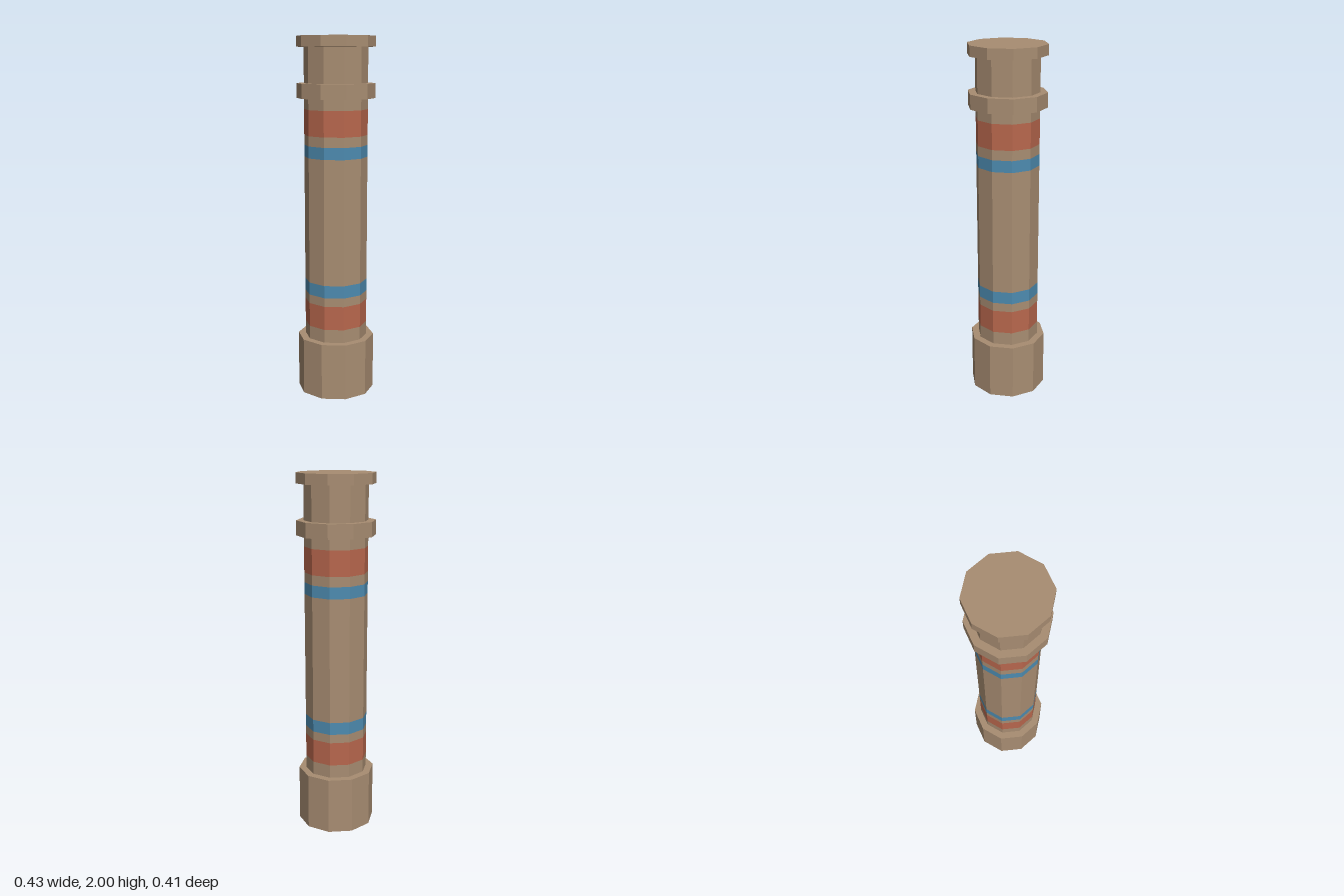
import * as THREE from 'three';

const SIDES = 10;
const WIDE = 0.216;   // base, collar and cap radius
const SHAFT = 0.175;  // shaft radius

export function createModel() {
  const group = new THREE.Group();
  group.name = 'column';

  const material = (name, color) => new THREE.MeshStandardMaterial({
    name, color, flatShading: true, side: THREE.DoubleSide,
  });
  const stone = material('sandstone', 0xa88d72);
  const red = material('terracotta red', 0xb8674d);
  const blue = material('faded blue', 0x4d8bb0);

  // Ten-sided shell from [radius, height] points, with a corner on the x axis
  const shell = (name, mat, points) => {
    const profile = points.map(([r, y]) => new THREE.Vector2(r, y));
    const geometry = new THREE.LatheGeometry(profile, SIDES, Math.PI / 2).toNonIndexed();
    geometry.computeVertexNormals();
    const mesh = new THREE.Mesh(geometry, mat);
    mesh.name = name;
    group.add(mesh);
  };

  // Base block, open underneath, with its ledge
  shell('base', stone, [[WIDE, 0], [WIDE, 0.32], [SHAFT, 0.32]]);

  // Shaft with painted bands, from bottom to top
  const sections = [
    ['lowerShaft', stone, 0.32, 0.395],
    ['lowerRedBand', red, 0.395, 0.53],
    ['lowerGap', stone, 0.53, 0.58],
    ['lowerBlueBand', blue, 0.58, 0.65],
    ['middleShaft', stone, 0.65, 1.35],
    ['upperBlueBand', blue, 1.35, 1.415],
    ['upperGap', stone, 1.415, 1.47],
    ['upperRedBand', red, 1.47, 1.61],
    ['upperShaft', stone, 1.61, 1.67],
  ];
  for (const [name, mat, y0, y1] of sections) shell(name, mat, [[SHAFT, y0], [SHAFT, y1]]);

  // Collar, neck and cap
  shell('collar', stone, [[SHAFT, 1.67], [WIDE, 1.67], [WIDE, 1.75], [SHAFT, 1.75]]);
  shell('neck', stone, [[SHAFT, 1.75], [SHAFT, 1.943]]);
  shell('cap', stone, [[SHAFT, 1.943], [WIDE, 1.943], [WIDE, 2]]);

  // Flat top of the cap
  const lid = new THREE.Mesh(new THREE.CircleGeometry(WIDE, SIDES).rotateX(-Math.PI / 2), stone);
  lid.name = 'capTop';
  lid.position.y = 2;
  group.add(lid);

  return group;
}
